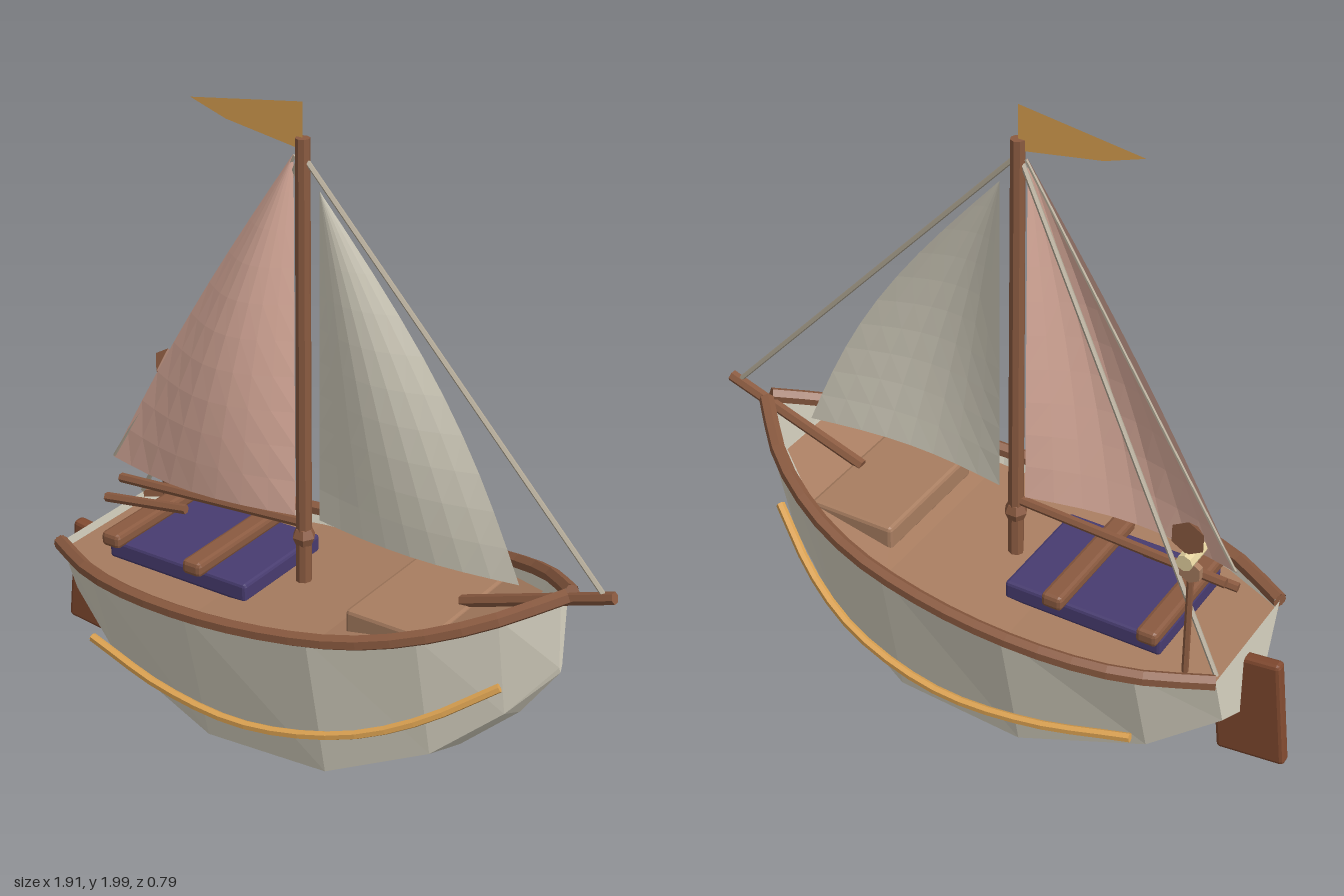
import * as THREE from 'three';
import { RoundedBoxGeometry } from 'three/addons/geometries/RoundedBoxGeometry.js';

const V = (x, y, z) => new THREE.Vector3(x, y, z);
const mat = (color) => new THREE.MeshStandardMaterial({ color, flatShading: true, side: THREE.DoubleSide });

export function createModel() {
  const boat = new THREE.Group();
  const cream = mat(0xd8d3c2), wood = mat(0x8a5a40), deckWood = mat(0xa87d60), darkWood = mat(0x80492f);
  const navy = mat(0x483c70), pink = mat(0xe3b3a2), gold = mat(0xdda352), rope = mat(0xb5ab98);

  function add(name, geometry, material, x = 0, y = 0, z = 0) {
    const mesh = new THREE.Mesh(geometry, material);
    mesh.name = name;
    mesh.position.set(x, y, z);
    boat.add(mesh);
    return mesh;
  }

  // Surface through rows of points
  function loft(rows) {
    const pos = [];
    for (let i = 0; i < rows.length - 1; i++) {
      for (let j = 0; j < rows[i].length - 1; j++) {
        const a = rows[i][j], b = rows[i + 1][j], c = rows[i + 1][j + 1], d = rows[i][j + 1];
        for (const p of [a, d, c, a, c, b]) pos.push(p.x, p.y, p.z);
      }
    }
    const g = new THREE.BufferGeometry();
    g.setAttribute('position', new THREE.Float32BufferAttribute(pos, 3));
    g.computeVertexNormals();
    return g;
  }

  // Straight round bar between two points
  function bar(name, a, b, r, material, sides = 6) {
    const m = add(name, new THREE.CylinderGeometry(r, r, a.distanceTo(b), sides), material);
    m.position.copy(a).lerp(b, 0.5);
    m.quaternion.setFromUnitVectors(V(0, 1, 0), b.clone().sub(a).normalize());
    return m;
  }

  // Bent bar with closed ends
  function bent(name, points, r, material, segments) {
    const curve = new THREE.CatmullRomCurve3(points);
    add(name, new THREE.TubeGeometry(curve, segments, r, 6), material);
    for (const t of [0, 1]) {
      const cap = add(name + 'End', new THREE.CircleGeometry(r, 6), material);
      cap.position.copy(curve.getPoint(t));
      cap.quaternion.setFromUnitVectors(V(0, 0, 1), curve.getTangent(t).multiplyScalar(t ? 1 : -1));
    }
  }

  // Hull stations: x, keel y, chine y, chine half width, sheer y, sheer half width
  const stations = [
    [-0.81, 0.27, 0.34, 0.14, 0.53, 0.205],
    [-0.61, 0.13, 0.21, 0.21, 0.54, 0.31],
    [-0.22, 0.01, 0.09, 0.26, 0.56, 0.37],
    [0.19, 0.03, 0.11, 0.25, 0.6, 0.35],
    [0.49, 0.18, 0.24, 0.17, 0.665, 0.26],
    [0.68, 0.36, 0.4, 0.09, 0.73, 0.145],
    [0.8, 0.53, 0.55, 0.008, 0.78, 0.02],
  ];
  const sections = stations.map(([x, k, cy, cz, sy, sz]) =>
    [V(x, sy, sz), V(x, cy, cz), V(x, k, 0), V(x, cy, -cz), V(x, sy, -sz)]);
  add('hull', loft(sections), cream);
  const cap = (s) => s.map((p) => [V(p.x, p.y, -p.z), p]);
  add('transom', loft(cap(sections[0].slice(0, 3))), cream);
  add('stem', loft(cap(sections[6].slice(0, 3))), cream);

  // Deck set just below the sheer
  add('deck', loft(stations.slice(0, 6).map(([x, , , , y, z], i) => {
    const w = z * (i === 0 ? 0.98 : i === 5 ? 0.7 : 0.91);
    return [V(x, y - 0.03, -w), V(x, y - 0.03, w)];
  })), deckWood);

  // Gunwale rails and rubbing strakes on both sides
  for (const s of [1, -1]) {
    const side = s > 0 ? 'left' : 'right';
    bent(side + 'Rail', [[-0.81, 0.53, 0.205], [-0.61, 0.541, 0.31], [-0.4, 0.55, 0.36], [-0.1, 0.568, 0.375],
      [0.19, 0.6, 0.35], [0.35, 0.628, 0.315], [0.5, 0.668, 0.26], [0.66, 0.722, 0.165], [0.815, 0.783, 0.012]]
      .map(([x, y, z]) => V(x, y, z * s)), 0.023, wood, 18);
    bent(side + 'Strake', [[-0.61, 0.315, 0.31], [-0.3, 0.27, 0.36], [0, 0.262, 0.37], [0.3, 0.315, 0.325],
      [0.5, 0.395, 0.25], [0.69, 0.515, 0.14]].map(([x, y, z]) => V(x, y, z * s)), 0.014, gold, 16);
  }

  // Rudder and tiller
  add('rudder', new RoundedBoxGeometry(0.215, 0.355, 0.042, 1, 0.012), darkWood, -0.83, 0.302, 0).rotation.z = -0.11;
  bar('tiller', V(-0.74, 0.645, 0.065), V(-0.455, 0.676, 0.04), 0.015, wood);

  // Deck fittings
  add('cockpitCover', new RoundedBoxGeometry(0.5, 0.06, 0.38, 1, 0.01), navy, -0.38, 0.56, 0);
  for (const x of [-0.6, -0.3]) {
    add('thwart', new RoundedBoxGeometry(0.066, 0.046, 0.45, 1, 0.013), wood, x, 0.607, 0);
  }
  add('hatch', new RoundedBoxGeometry(0.28, 0.08, 0.44, 1, 0.012), deckWood, 0.375, 0.609, 0);

  // Mast and spars
  add('mast', new THREE.CylinderGeometry(0.021, 0.024, 1.36, 8), wood, -0.055, 1.22, 0);
  add('mastKnob', new THREE.SphereGeometry(0.036, 6, 4), wood, -0.055, 0.693, 0);
  bar('boom', V(-0.725, 0.692, 0.01), V(-0.06, 0.735, 0), 0.015, wood);
  bar('bowsprit', V(0.48, 0.652, 0), V(0.95, 0.815, 0), 0.018, wood);

  // Rigging
  bar('forestay', V(-0.04, 1.835, 0), V(0.92, 0.81, 0), 0.008, rope, 5);
  bar('backstay', V(-0.07, 1.83, 0), V(-0.805, 0.54, -0.19), 0.008, rope, 5);
  bar('leechRope', V(-0.08, 1.845, 0), V(-0.755, 0.755, 0), 0.005, rope, 5);

  // Sails: vertical luff, curved outer edge, belly towards +z
  function sail(name, x0, x1, y0, y1, bulge, belly, material) {
    const rows = [];
    for (let i = 0; i <= 10; i++) {
      const t = i / 10, row = [];
      const width = (x1 - x0) * (1 - t) + Math.sign(x1 - x0) * bulge * Math.sin(Math.PI * t);
      for (let j = 0; j <= 8; j++) {
        const u = j / 8;
        row.push(V(x0 + width * u, y0 + (y1 - y0) * t,
          belly * Math.sin(Math.PI * u) * Math.sin(Math.PI * (0.22 + 0.78 * t))));
      }
      rows.push(row);
    }
    add(name, loft(rows), material);
  }
  sail('mainsail', -0.085, -0.76, 0.75, 1.85, 0.025, 0.082, pink);
  sail('jib', 0, 0.66, 0.76, 1.76, 0.075, 0.055, cream);

  // Pennant
  const flag = new THREE.Shape([[-0.055, 2], [-0.43, 1.945], [-0.31, 1.905], [-0.055, 1.865]]
    .map(([x, y]) => new THREE.Vector2(x, y)));
  add('pennant', new THREE.ShapeGeometry(flag), gold);

  // Stern lantern on a post, its parts lying along z
  bar('lanternPost', V(-0.705, 0.5, -0.18), V(-0.705, 0.9, -0.18), 0.01, wood);
  const lying = (name, rTop, rBottom, h, sides, material, y, z) => {
    add(name, new THREE.CylinderGeometry(rTop, rBottom, h, sides), material, -0.705, y, z).rotation.x = Math.PI / 2;
  };
  lying('lanternBase', 0.035, 0.035, 0.02, 6, deckWood, 0.86, -0.18);
  lying('lanternGlass', 0.025, 0.025, 0.09, 8, mat(0xe6d3a0), 0.916, -0.182);
  lying('lanternCap', 0, 0.054, 0.06, 6, wood, 0.99, -0.182);

  return boat;
}
